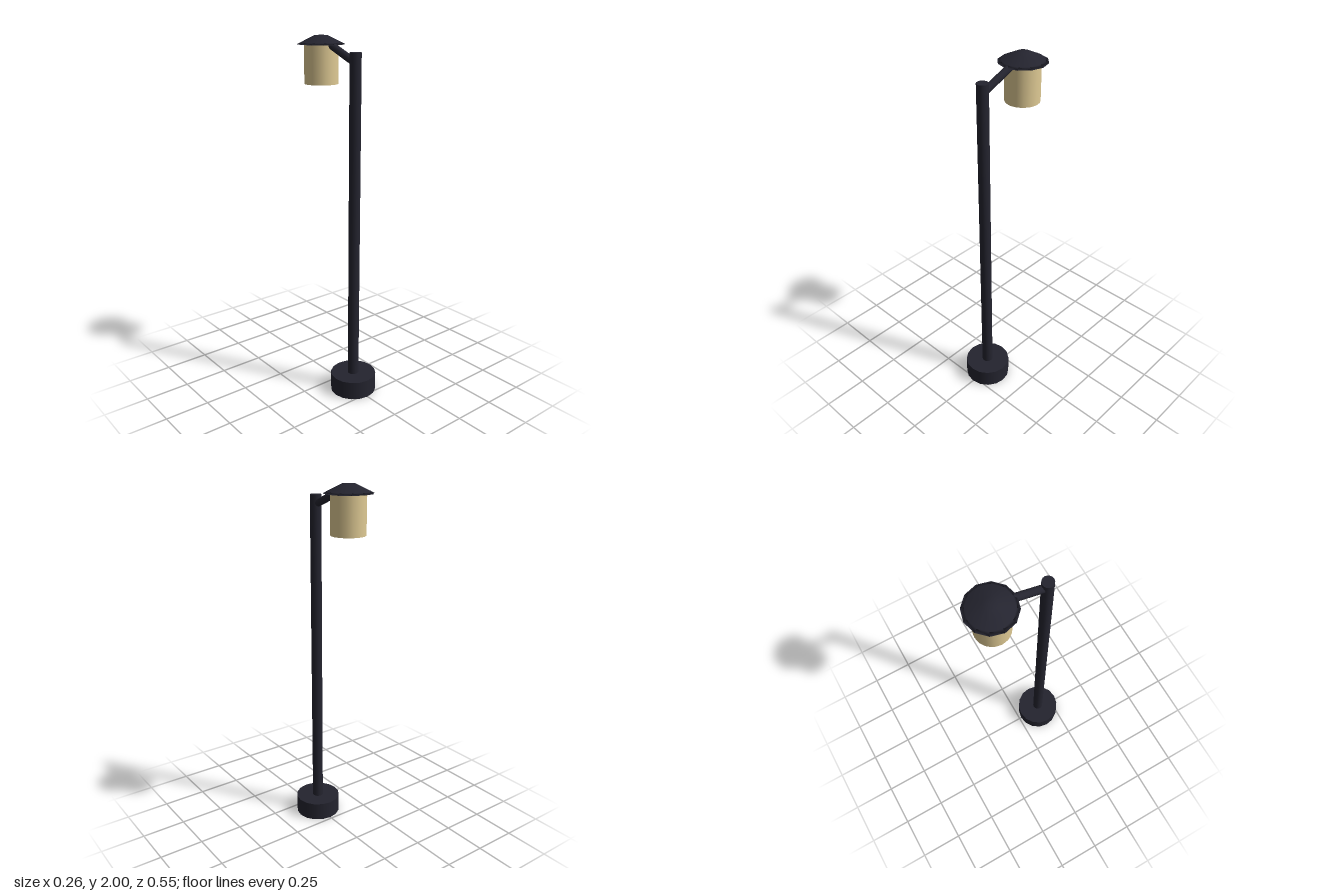
import * as THREE from 'three';

const POST_Z = 0.143;
const LAMP_Z = -0.143;

export function createModel() {
  const model = new THREE.Group();
  model.name = 'streetLamp';

  const darkMetal = new THREE.MeshStandardMaterial({ color: 0x24242f });
  darkMetal.name = 'darkMetal';
  const warmGlass = new THREE.MeshStandardMaterial({ color: 0xdfca94 });
  warmGlass.name = 'warmGlass';

  const add = (name, geometry, material, y, z) => {
    const mesh = new THREE.Mesh(geometry, material);
    mesh.name = name;
    mesh.position.set(0, y, z);
    model.add(mesh);
    return mesh;
  };
  // Upright cylinder between two heights
  const column = (name, radius, bottom, top, sides, material, z) =>
    add(name, new THREE.CylinderGeometry(radius, radius, top - bottom, sides), material, (bottom + top) / 2, z);

  // Foot and post
  column('base', 0.13, 0, 0.105, 16, darkMetal, POST_Z);
  column('post', 0.031, 0.1, 1.925, 16, darkMetal, POST_Z);

  // Sloping arm from the post into the shade
  const from = new THREE.Vector3(0, 1.872, POST_Z);
  const to = new THREE.Vector3(0, 1.973, -0.11);
  const direction = to.clone().sub(from);
  const arm = add('arm', new THREE.CylinderGeometry(0.02, 0.02, direction.length(), 12), darkMetal, 0, 0);
  arm.position.copy(from).add(to).multiplyScalar(0.5);
  arm.quaternion.setFromUnitVectors(new THREE.Vector3(0, 1, 0), direction.normalize());

  // Glowing lantern under a low conical shade
  column('lantern', 0.093, 1.745, 1.957, 16, warmGlass, LAMP_Z);
  const shadeProfile = [[0, 0], [0.13, 0], [0.112, 0.01], [0.035, 0.047], [0, 0.047]]
    .map(([r, y]) => new THREE.Vector2(r, y));
  add('shade', new THREE.LatheGeometry(shadeProfile, 12), darkMetal, 1.953, LAMP_Z);

  return model;
}
